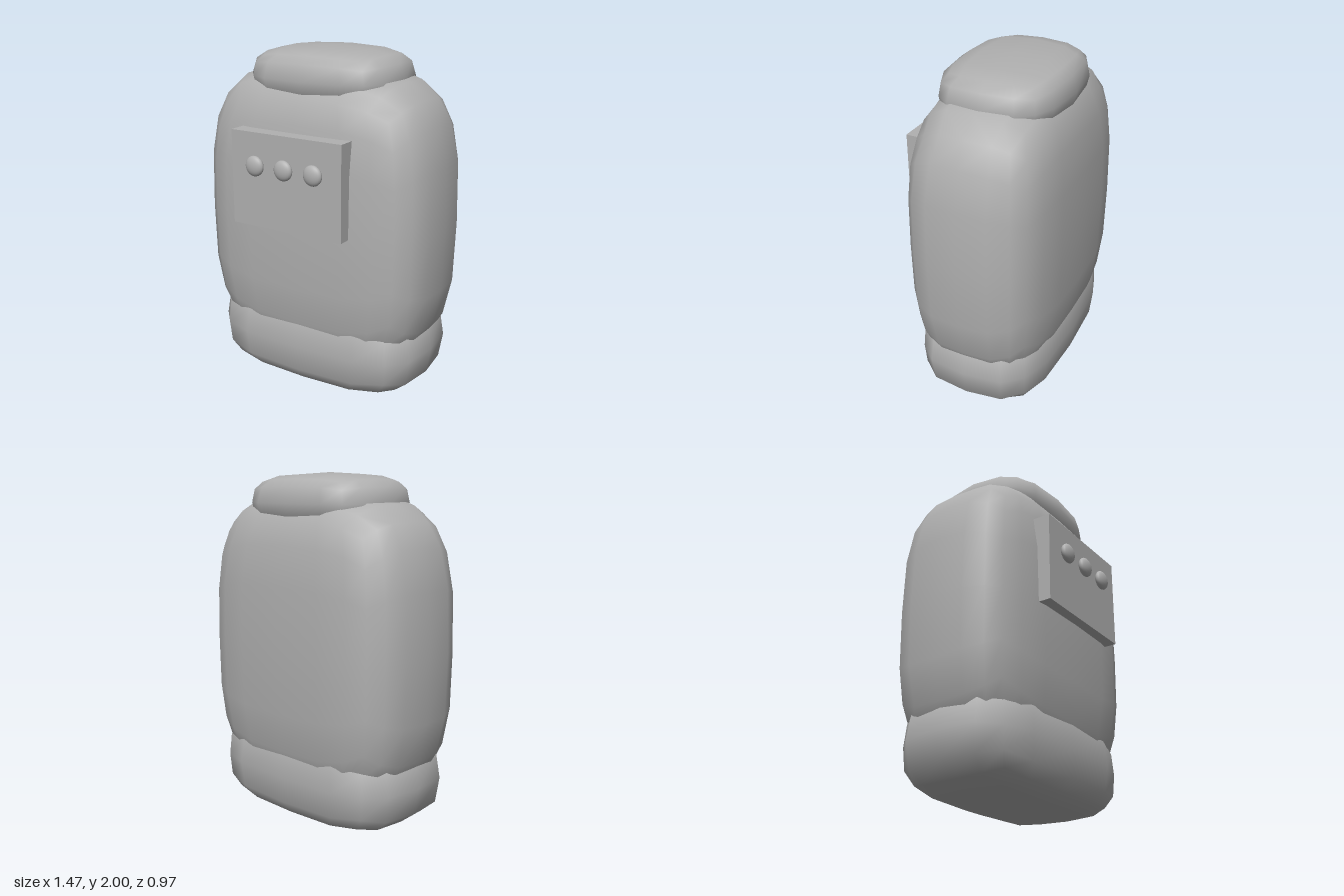
import * as THREE from 'three';
import { mergeVertices } from 'three/addons/utils/BufferGeometryUtils.js';

const grey = new THREE.MeshStandardMaterial({ color: 0xb0b0b0 });
grey.name = 'grey';

// Pillow shape: a gridded cube pushed onto a superellipsoid, with smooth normals
function pillowGeometry(halfSize, power, segments) {
  const geometry = new THREE.BoxGeometry(2, 2, 2, segments, segments, segments);
  geometry.deleteAttribute('uv');
  geometry.deleteAttribute('normal');
  const merged = mergeVertices(geometry, 1e-4);
  const pos = merged.attributes.position;
  const v = new THREE.Vector3();
  const spread = (t) => Math.sign(t) * Math.pow(Math.abs(t), 0.8);
  for (let i = 0; i < pos.count; i++) {
    v.fromBufferAttribute(pos, i);
    v.set(spread(v.x), spread(v.y), spread(v.z));
    const length = Math.pow(
      Math.abs(v.x) ** power + Math.abs(v.y) ** power + Math.abs(v.z) ** power, 1 / power);
    v.divideScalar(length).multiply(halfSize);
    pos.setXYZ(i, v.x, v.y, v.z);
  }
  merged.computeVertexNormals();
  return merged;
}

export function createModel() {
  const model = new THREE.Group();
  model.name = 'backpack';

  function add(name, geometry, x, y, z) {
    const mesh = new THREE.Mesh(geometry, grey);
    mesh.name = name;
    mesh.position.set(x, y, z);
    model.add(mesh);
    return mesh;
  }

  // Three stacked pillows: main body, base and top collar
  add('body', pillowGeometry(new THREE.Vector3(0.735, 0.88, 0.433), 3.4, 6), 0, 1.02, -0.052);
  add('base', pillowGeometry(new THREE.Vector3(0.68, 0.28, 0.407), 3.4, 4), 0, 0.28, -0.05);
  add('topCollar', pillowGeometry(new THREE.Vector3(0.46, 0.17, 0.355), 2.8, 4), 0, 1.83, -0.053);

  // Control panel on the front
  add('controlPanel', new THREE.BoxGeometry(0.715, 0.54, 0.14), 0, 1.29, 0.37);

  // Row of three flattened round buttons
  const buttonGeometry = new THREE.SphereGeometry(0.058, 20, 14);
  for (const x of [-0.19, 0, 0.19]) {
    add('button', buttonGeometry, x, 1.375, 0.457).scale.z = 0.5;
  }

  return model;
}
